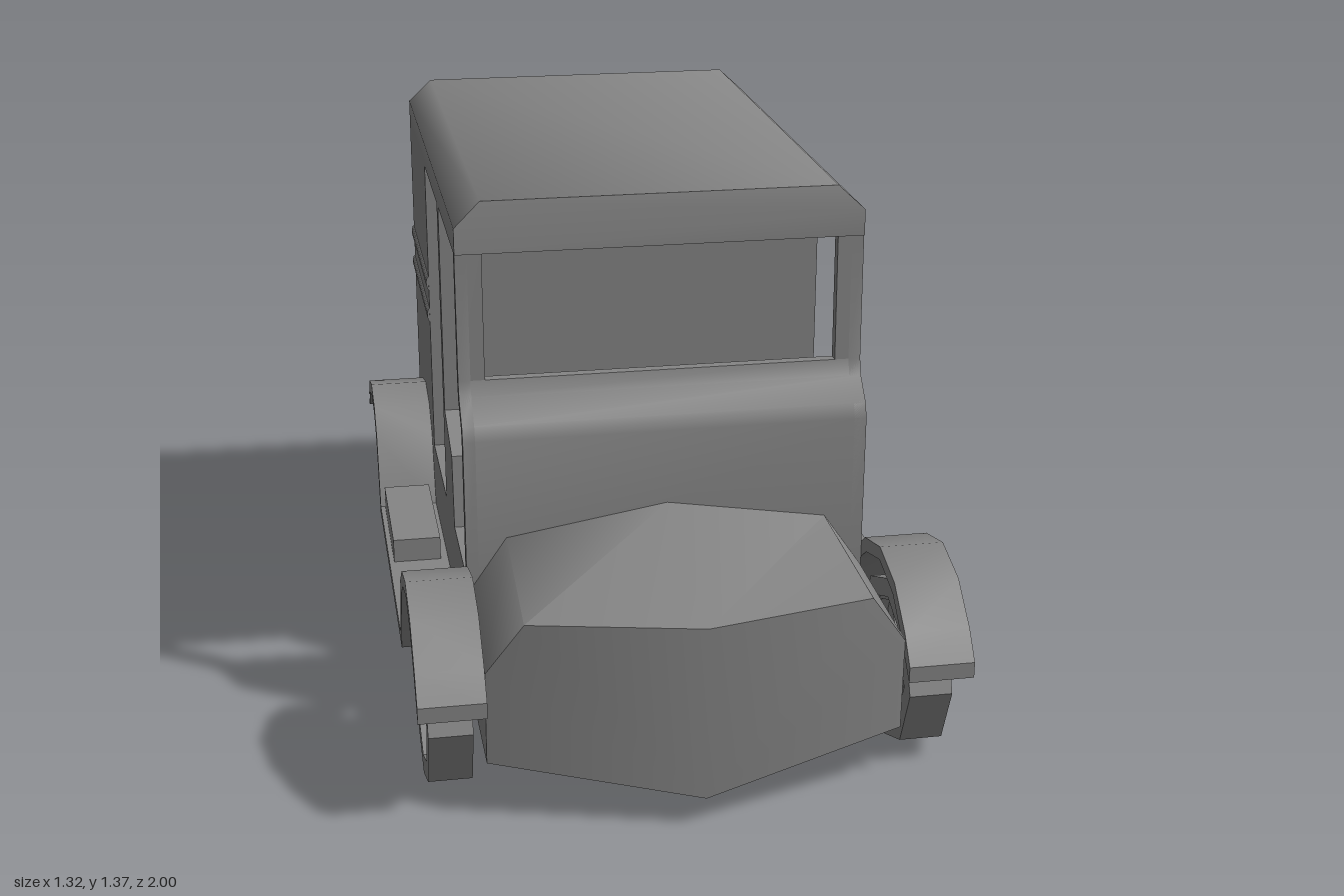
import * as THREE from 'three';
import { toCreasedNormals, mergeGeometries } from 'three/addons/utils/BufferGeometryUtils.js';

const material = new THREE.MeshStandardMaterial({ color: 0x858585, side: THREE.DoubleSide });

function part(parent, name, geometry, crease = 0.9) {
  const mesh = new THREE.Mesh(toCreasedNormals(geometry, crease), material);
  mesh.name = name;
  parent.add(mesh);
  return mesh;
}

const points = (list) => list.map(([a, b]) => new THREE.Vector2(a, b));

// Side profile given as (z, y), extruded across x from x0 to x1
function across(profile, x0, x1, holes = []) {
  const shape = new THREE.Shape(points(profile));
  holes.forEach((h) => shape.holes.push(new THREE.Path(points(h))));
  return new THREE.ExtrudeGeometry(shape, { depth: x1 - x0, bevelEnabled: false })
    .rotateY(-Math.PI / 2).translate(x1, 0, 0);
}

// Box given by its limits
function block(x0, x1, y0, y1, z0, z1) {
  return new THREE.BoxGeometry(x1 - x0, y1 - y0, z1 - z0)
    .translate((x0 + x1) / 2, (y0 + y1) / 2, (z0 + z1) / 2);
}

// Closed loft; each section is its +x half from bottom centre to top centre
function loft(halves) {
  const rings = halves.map((h) => [...h, ...h.slice(1, -1).reverse().map(([x, y, z]) => [-x, y, z])]);
  const n = rings[0].length, last = rings.length - 1, index = [];
  for (let i = 0; i < last; i++) {
    for (let j = 0; j < n; j++) {
      const a = i * n + j, b = i * n + (j + 1) % n;
      index.push(a, b, b + n, a, b + n, a + n);
    }
  }
  for (let j = 1; j < n - 1; j++) index.push(0, j + 1, j, last * n, last * n + j, last * n + j + 1);
  const geometry = new THREE.BufferGeometry();
  geometry.setAttribute('position', new THREE.Float32BufferAttribute(rings.flat(2), 3));
  geometry.setIndex(index);
  return geometry.toNonIndexed();
}

// Smoothly hollowed panel filling the doorway in one side wall
function alcove(side) {
  const geometry = new THREE.PlaneGeometry(0.384, 0.83, 18, 24);
  const p = geometry.attributes.position;
  for (let i = 0; i < p.count; i++) {
    const u = Math.min(1, Math.abs(p.getX(i)) / 0.192), v = Math.min(1, Math.abs(p.getY(i)) / 0.415);
    p.setZ(i, -0.2 * Math.sqrt((1 - u ** 4) * (1 - v ** 8)));
  }
  return geometry.rotateY(side * Math.PI / 2).translate(side * 0.472, 0.8375, -0.26);
}

function octagon(radius) {
  return Array.from({ length: 8 }, (_, i) => {
    const a = i * Math.PI / 4;
    return [radius * Math.sin(a), radius * Math.cos(a)];
  });
}

function createWheel() {
  const wheel = new THREE.Group();
  wheel.name = 'wheel';
  part(wheel, 'tyre', across(octagon(0.215), -0.053, 0.053, [octagon(0.165)]), 0.2);
  part(wheel, 'rim', across(octagon(0.167), -0.035, 0.035, [octagon(0.152)]), 0.2);
  const spokes = [];
  for (let i = 0; i < 10; i++) {
    const spoke = across([[-0.008, 0.01], [0.008, 0.01], [0.02, 0.152], [-0.02, 0.152]], -0.012, 0.012);
    spokes.push(spoke.rotateX((i + 0.5) * Math.PI / 5));
  }
  part(wheel, 'spokes', mergeGeometries(spokes), 0.2);
  part(wheel, 'hub', new THREE.CylinderGeometry(0.018, 0.018, 0.05, 8).rotateZ(Math.PI / 2));
  return wheel;
}

function createBody() {
  const body = new THREE.Group();
  body.name = 'body';

  // Bonnet with a pointed nose, and the keeled lower hull
  part(body, 'bonnet', loft([
    [[0, 0.075, 0.49], [0.5, 0.15, 0.49], [0.5, 0.4, 0.49], [0.4, 0.545, 0.49], [0, 0.61, 0.49]],
    [[0, 0.075, 1], [0.5, 0.15, 0.88], [0.5, 0.385, 0.885], [0.41, 0.515, 0.91], [0, 0.515, 1]],
  ]), 0.85);
  part(body, 'hull', loft([
    [[0, 0.4, -0.98], [0.5, 0.42, -0.98], [0.5, 0.425, -0.98], [0, 0.425, -0.98]],
    [[0, 0.075, -0.73], [0.5, 0.15, -0.76], [0.5, 0.425, -0.76], [0, 0.425, -0.76]],
    [[0, 0.075, 0.49], [0.5, 0.15, 0.49], [0.5, 0.425, 0.49], [0, 0.425, 0.49]],
  ]), 1);

  // Side walls with cab opening and cargo doorway
  const front = [[0.49, 0.42], [0.49, 0.8], [0.478, 0.835], [0.425, 0.89], [0.413, 0.93]];
  const wall = [...front, [0.405, 1.26], [-0.98, 1.26], [-0.98, 0.42]];
  const cabOpening = [[0.46, 0.44], [0.463, 0.8], [0.45, 0.83], [0.4, 0.88], [0.388, 0.93],
    [0.383, 1.245], [-0.03, 1.245], [-0.03, 0.69], [0.15, 0.63], [0.17, 0.44]];
  const doorway = [[-0.07, 0.425], [-0.07, 1.25], [-0.45, 1.25], [-0.45, 0.425]];
  part(body, 'leftWall', across(wall, 0.47, 0.5, [cabOpening, doorway]), 0.7);
  part(body, 'rightWall', across(wall, -0.5, -0.47, [cabOpening, doorway]), 0.7);
  part(body, 'leftAlcove', alcove(1), 1.2);
  part(body, 'rightAlcove', alcove(-1), 1.2);

  // Cowl below the windscreen and its two posts
  const inner = front.map(([z, y]) => [z - 0.027, y]).reverse();
  part(body, 'cowl', across([...front, ...inner], -0.499, 0.499), 0.9);
  const post = [[0.413, 0.93], [0.405, 1.26], [0.378, 1.26], [0.386, 0.93]];
  part(body, 'leftPost', across(post, 0.435, 0.499));
  part(body, 'rightPost', across(post, -0.499, -0.435));

  // Roof with sloped shoulders, its front edge leaning back
  const roofShape = new THREE.Shape(points([[-0.5, 1.245], [0.5, 1.245], [0.5, 1.31],
    [0.435, 1.37], [-0.435, 1.37], [-0.5, 1.31]]));
  const roof = new THREE.ExtrudeGeometry(roofShape, { depth: 1.39, bevelEnabled: false });
  roof.translate(0, 0, -0.98);
  const p = roof.attributes.position;
  for (let i = 0; i < p.count; i++) if (p.getZ(i) > 0 && p.getY(i) > 1.36) p.setZ(i, 0.395);
  part(body, 'roof', roof);

  // Rear panel, bulkhead and seat
  part(body, 'rearPanel', block(-0.5, 0.5, 0.42, 1.26, -0.98, -0.95));
  part(body, 'cabBulkhead', block(-0.47, 0.47, 0.42, 1.26, -0.06, -0.03));
  part(body, 'seat', across([[0.17, 0.42], [0.15, 0.63], [-0.03, 0.69], [-0.03, 0.42]], -0.48, 0.48));

  // Shallow moulded bands around the cargo area
  for (const y of [0.817, 0.91]) {
    const bands = [-1, 1].map((s) => new THREE.CylinderGeometry(1, 1, 0.53, 10)
      .rotateX(Math.PI / 2).scale(0.008, 0.02, 1).translate(s * 0.499, y, -0.717));
    bands.push(new THREE.CylinderGeometry(1, 1, 1, 10)
      .rotateZ(Math.PI / 2).scale(1, 0.02, 0.008).translate(0, y, -0.979));
    part(body, 'band', mergeGeometries(bands), 1);
  }
  return body;
}

function createSteering() {
  const steering = new THREE.Group();
  steering.name = 'steering';
  const column = part(steering, 'column', new THREE.CylinderGeometry(0.02, 0.02, 0.38, 8).translate(0, -0.19, 0));
  column.rotation.x = -0.46;
  const wheel = part(steering, 'steeringWheel', mergeGeometries([
    new THREE.TorusGeometry(0.092, 0.016, 6, 16).rotateX(Math.PI / 2),
    new THREE.BoxGeometry(0.18, 0.012, 0.02), new THREE.BoxGeometry(0.02, 0.012, 0.18)]));
  wheel.rotation.x = -0.98;
  steering.position.set(0.2, 0.775, 0.3);
  return steering;
}

function createRunningGear(side) {
  const gear = new THREE.Group();
  gear.name = side > 0 ? 'leftRunningGear' : 'rightRunningGear';

  // One continuous strip: front mudguard, running board, rear mudguard
  const top = [[0.93, 0.335], [0.88, 0.4], [0.78, 0.485], [0.65, 0.522], [0.52, 0.49], [0.44, 0.43],
    [0.35, 0.238], [-0.465, 0.238], [-0.53, 0.43], [-0.6, 0.495], [-0.72, 0.522], [-0.845, 0.49],
    [-0.92, 0.42], [-0.935, 0.416], [-1, 0.402]];
  const under = [[0.93, 0.295], [0.86, 0.37], [0.77, 0.452], [0.65, 0.488], [0.535, 0.457], [0.465, 0.405],
    [0.375, 0.21], [-0.49, 0.21], [-0.555, 0.405], [-0.615, 0.462], [-0.72, 0.488], [-0.83, 0.457],
    [-0.905, 0.392], [-0.935, 0.386], [-1, 0.372]];
  const guard = across([...top, ...under.reverse()], 0.5, 0.66);
  const p = guard.attributes.position;
  for (let i = 0; i < p.count; i++) {
    if (p.getZ(i) < -0.95) p.setX(i, 0.58 + (p.getX(i) - 0.58) * 0.55);
  }
  part(gear, 'mudguardsAndBoard', guard, 0.6);
  part(gear, 'stepBox', block(0.52, 0.647, 0.23, 0.302, -0.455, -0.08));

  for (const z of [0.645, -0.718]) {
    const wheel = createWheel();
    wheel.position.set(0.58, 0.217, z);
    gear.add(wheel);
  }
  gear.scale.x = side;
  return gear;
}

export function createModel() {
  const model = new THREE.Group();
  model.name = 'vintageVan';
  model.add(createBody(), createSteering(), createRunningGear(1), createRunningGear(-1));
  return model;
}
